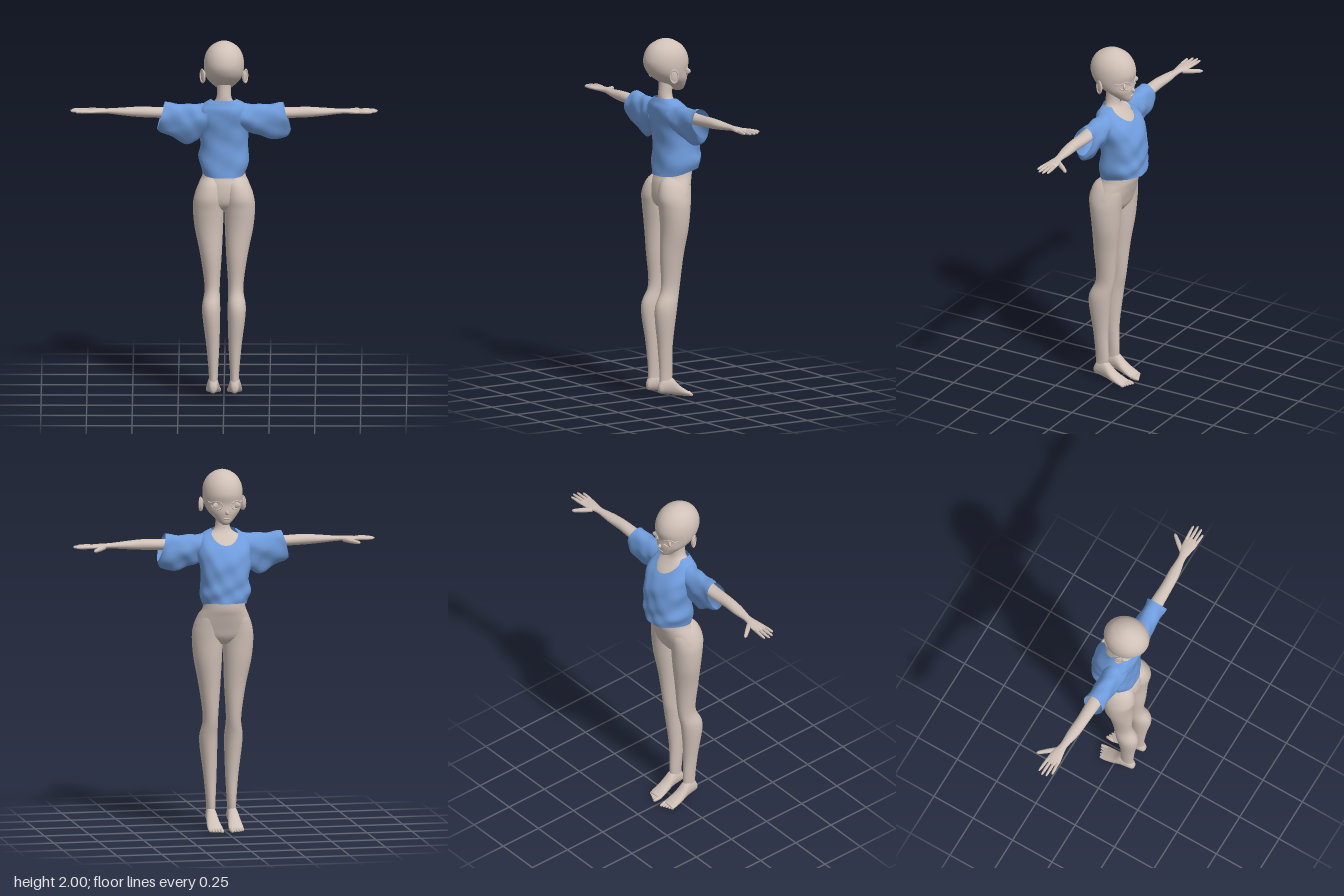
import * as THREE from 'three';

const skin = new THREE.MeshStandardMaterial({ color: 0xd0c1b7 });
skin.name = 'skin';
const cloth = new THREE.MeshStandardMaterial({ color: 0x6f9cdc, side: THREE.DoubleSide });
cloth.name = 'blueCloth';

// Smooth interpolation through rows of numbers, u from 0 to 1
function sample(rows, u) {
  const f = u * (rows.length - 1), i = Math.min(Math.floor(f), rows.length - 2), t = f - i;
  const at = k => rows[Math.max(0, Math.min(rows.length - 1, k))];
  return rows[0].map((_, c) => {
    const p0 = at(i - 1)[c], p1 = at(i)[c], p2 = at(i + 1)[c], p3 = at(i + 2)[c];
    return p1 + 0.5 * t * (p2 - p0 + t * (2 * p0 - 5 * p1 + 4 * p2 - p3 + t * (3 * (p1 - p2) + p3 - p0)));
  });
}

// Lofted skin along an axis. Rows increase along it: [t, a0, a1, b0, b1]
// (a, b) = (x, z) for axis y, (z, y) for axis x, (y, x) for axis z
function loft(rows, axis, { seg = 32, steps = 48, power = 1, caps = true, end = () => 1, warp } = {}) {
  const pos = [], idx = [];
  const put = (t, a, b) => {
    const p = axis === 'y' ? [a, t, b] : axis === 'x' ? [t, b, a] : [b, a, t];
    const v = new THREE.Vector3(...p);
    if (warp) warp(v);
    pos.push(v.x, v.y, v.z);
  };
  const bend = v => Math.sign(v) * Math.abs(v) ** power;
  for (let j = 0; j <= steps; j++) for (let i = 0; i < seg; i++) {
    const q = i / seg * Math.PI * 2;
    const [t, a0, a1, b0, b1] = sample(rows, j / steps * end(q));
    put(t, (a0 + a1) / 2 + (a1 - a0) / 2 * bend(Math.cos(q)), (b0 + b1) / 2 + (b1 - b0) / 2 * bend(Math.sin(q)));
  }
  for (let j = 0; j < steps; j++) for (let i = 0; i < seg; i++) {
    const n = (i + 1) % seg, a = j * seg + i, b = j * seg + n;
    idx.push(a, a + seg, b, b, a + seg, b + seg);
  }
  if (caps) {
    const first = rows[0], last = rows[rows.length - 1], c = pos.length / 3, top = steps * seg;
    for (const r of [first, last]) put(r[0], (r[1] + r[2]) / 2, (r[3] + r[4]) / 2);
    for (let i = 0; i < seg; i++) {
      const n = (i + 1) % seg;
      idx.push(c, i, n, c + 1, top + n, top + i);
    }
  }
  const g = new THREE.BufferGeometry();
  g.setAttribute('position', new THREE.Float32BufferAttribute(pos, 3));
  g.setIndex(idx);
  g.computeVertexNormals();
  return g;
}

// Mirror a geometry across x, keeping faces outward
function mirror(g) {
  const m = g.clone().scale(-1, 1, 1), ix = m.index.array;
  for (let i = 0; i < ix.length; i += 3) [ix[i], ix[i + 1]] = [ix[i + 1], ix[i]];
  m.computeVertexNormals();
  return m;
}

function ball(x, y, z, sx, sy, sz, ry = 0) {
  return new THREE.SphereGeometry(1, 20, 14).scale(sx, sy, sz).rotateY(ry).translate(x, y, z);
}

function tube(points, r) {
  return new THREE.TubeGeometry(new THREE.CatmullRomCurve3(points.map(p => new THREE.Vector3(...p))), 16, r, 8);
}

// Tapered finger or toe with a rounded tip
function digit(from, to, r) {
  const a = new THREE.Vector3(...from), b = new THREE.Vector3(...to), d = b.clone().sub(a), L = d.length();
  const prof = [[0, 0], [r, 0], [r, L * 0.5], [r * 0.75, L * 0.88], [r * 0.4, L * 0.98], [0, L]];
  const g = new THREE.LatheGeometry(prof.map(p => new THREE.Vector2(...p)), 10);
  g.applyQuaternion(new THREE.Quaternion().setFromUnitVectors(new THREE.Vector3(0, 1, 0), d.normalize()));
  return g.translate(a.x, a.y, a.z);
}

export function createModel() {
  const model = new THREE.Group();
  model.name = 'mannequin';
  const add = (name, g, mat = skin) => {
    const m = new THREE.Mesh(g, mat);
    m.name = name;
    model.add(m);
  };
  const pair = (name, g, mat) => {
    add(name + 'Left', g, mat);
    add(name + 'Right', mirror(g), mat);
  };

  // Head, facing -z
  add('head', loft([
    [1.705, -0.015, 0.015, -0.07, -0.03], [1.718, -0.034, 0.034, -0.082, 0], [1.75, -0.066, 0.066, -0.088, 0.05],
    [1.78, -0.09, 0.09, -0.092, 0.1], [1.82, -0.105, 0.105, -0.09, 0.14], [1.87, -0.11, 0.11, -0.1, 0.16],
    [1.92, -0.103, 0.103, -0.088, 0.152], [1.96, -0.081, 0.081, -0.06, 0.127], [1.985, -0.05, 0.05, -0.023, 0.09],
    [1.996, -0.024, 0.024, 0.006, 0.06], [2, -0.005, 0.005, 0.028, 0.038]], 'y', { seg: 40 }));
  add('nose', ball(0, 1.776, -0.09, 0.009, 0.013, 0.016));
  add('lips', ball(0, 1.743, -0.085, 0.018, 0.005, 0.006));
  const faceZ = x => 0.025 - 0.115 * Math.sqrt(1 - (x / 0.106) ** 2);
  const lid = pts => tube(pts.map(([x, y]) => [x, y, faceZ(x) - 0.002]), 0.004);
  pair('eyeball', ball(0.053, 1.815, faceZ(0.053) + 0.004, 0.026, 0.017, 0.009, 0.5));
  pair('upperEyelid', lid([[0.02, 1.812], [0.035, 1.832], [0.06, 1.838], [0.08, 1.828], [0.092, 1.832]]));
  pair('lowerEyelid', lid([[0.027, 1.803], [0.045, 1.794], [0.065, 1.797], [0.08, 1.812]]));
  pair('eyebrow', tube([0.02, 0.045, 0.075].map((x, i) => [x, [1.85, 1.862, 1.855][i], faceZ(x) - 0.004]), 0.003));
  pair('ear', ball(0.113, 1.805, 0.05, 0.009, 0.037, 0.023, -0.5));
  pair('earRim', new THREE.TorusGeometry(0.022, 0.004, 8, 24).scale(1, 1.6, 1)
    .rotateY(Math.PI / 2 - 0.5).translate(0.119, 1.807, 0.052));

  // Torso and neck
  add('torso', loft([
    [1.04, -0.03, 0.03, -0.03, 0.04], [1.08, -0.14, 0.14, -0.06, 0.09], [1.13, -0.161, 0.161, -0.077, 0.105],
    [1.2, -0.137, 0.137, -0.1, 0.1], [1.26, -0.114, 0.114, -0.115, 0.082], [1.4, -0.105, 0.105, -0.11, 0.06],
    [1.5, -0.12, 0.12, -0.12, 0.07], [1.58, -0.123, 0.123, -0.08, 0.083], [1.63, -0.1, 0.1, -0.035, 0.08],
    [1.66, -0.055, 0.055, -0.012, 0.074], [1.69, -0.04, 0.04, -0.004, 0.074], [1.74, -0.038, 0.038, -0.006, 0.07],
    [1.78, -0.038, 0.038, -0.006, 0.07]], 'y', { steps: 60 }));

  // Legs and feet
  pair('leg', loft([
    [0.06, 0.035, 0.082, 0.035, 0.108], [0.14, 0.033, 0.083, 0.028, 0.105], [0.3, 0.025, 0.097, 0.03, 0.118],
    [0.5, 0.02, 0.12, 0.01, 0.14], [0.62, 0.023, 0.106, -0.012, 0.098], [0.8, 0.012, 0.13, -0.03, 0.105],
    [0.95, 0.005, 0.16, -0.05, 0.106], [1.06, 0.001, 0.17, -0.06, 0.116], [1.13, 0.001, 0.163, -0.068, 0.124],
    [1.2, 0.005, 0.136, -0.075, 0.106], [1.24, 0.02, 0.1, -0.06, 0.07]], 'y', { steps: 60 }));
  pair('foot', loft([
    [-0.085, 0.004, 0.026, 0.02, 0.096], [-0.06, 0.005, 0.04, 0.016, 0.1], [-0.01, 0.014, 0.075, 0.023, 0.097],
    [0.04, 0.026, 0.125, 0.03, 0.09], [0.085, 0.034, 0.125, 0.032, 0.085], [0.108, 0.038, 0.095, 0.04, 0.078],
    [0.116, 0.052, 0.075, 0.05, 0.068]], 'z', { seg: 24, steps: 30 }));
  for (let i = 0; i < 5; i++) {
    const x = 0.027 + i * 0.0155, r = i ? 0.008 : 0.011;
    pair('toe' + (i + 1), digit([x, 0.018, -0.065], [x + 0.002, 0.011, -0.115 + i * 0.007], r));
  }

  // Arms held out to the sides
  pair('arm', loft([
    [0.08, -0.01, 0.07, 1.56, 1.635], [0.2, -0.015, 0.065, 1.56, 1.632], [0.33, -0.018, 0.058, 1.565, 1.624],
    [0.45, -0.014, 0.052, 1.569, 1.627], [0.54, -0.018, 0.045, 1.576, 1.621], [0.63, -0.016, 0.027, 1.585, 1.614],
    [0.68, -0.03, 0.032, 1.586, 1.613], [0.73, -0.037, 0.04, 1.587, 1.609], [0.76, -0.034, 0.037, 1.592, 1.606]],
  'x', { seg: 24 }));
  const fingers = [[-0.029, 0.83, -0.036], [-0.01, 0.842, -0.012], [0.011, 0.837, 0.013], [0.03, 0.812, 0.036]];
  fingers.forEach(([z, tipX, tipZ], i) =>
    pair('finger' + (i + 1), digit([0.74, 1.599, z], [tipX, 1.599, tipZ], 0.0088)));
  pair('thumb', digit([0.67, 1.594, -0.016], [0.742, 1.587, -0.103], 0.013));

  // Shirt body: open hem, wide front neckline and soft creases
  const crease = v => 0.003 * Math.sin(v.y * 47 + v.x * 31) + 0.002 * Math.sin(v.x * 68 - v.y * 38 + v.z * 20);
  add('shirtBody', loft([
    [1.24, -0.12, 0.12, -0.157, 0.09], [1.32, -0.137, 0.137, -0.157, 0.085], [1.42, -0.131, 0.131, -0.154, 0.08],
    [1.5, -0.142, 0.142, -0.146, 0.087], [1.57, -0.148, 0.148, -0.112, 0.098], [1.62, -0.138, 0.138, -0.065, 0.1],
    [1.65, -0.11, 0.11, -0.035, 0.088], [1.673, -0.066, 0.066, -0.015, 0.08]], 'y', {
    seg: 72, power: 0.8, caps: false,
    end: q => 1 - 0.37 * Math.max(0, -Math.sin(q)) ** 4,
    warp: v => {
      const k = 1 + crease(v) / 0.15;
      v.x *= k;
      v.z *= k;
      v.y += Math.max(0, 1 - (v.y - 1.24) / 0.15) * 0.04 * THREE.MathUtils.smoothstep(-v.z, -0.09, 0.15);
    },
  }), cloth);

  // Loose sleeves, slanted at the cuff and hanging to a narrow fold below
  const sleeve = bottoms => loft([0.09, 0.15, 0.2, 0.25, 0.295, 0.325].map((x, i) => [
    x, -0.036, [0.09, 0.088, 0.083, 0.078, 0.077, 0.077][i],
    bottoms[i], [1.652, 1.644, 1.64, 1.644, 1.652, 1.655][i]]), 'x', {
    seg: 48, power: 0.9, caps: false,
    warp: v => {
      const drop = Math.max(0, 1.56 - v.y);
      v.z = 0.022 + (v.z - 0.022) * (1 - 3.2 * drop) + crease(v);
      v.y += crease(v);
      v.x += (1.65 - v.y) * 0.28 * THREE.MathUtils.smoothstep(v.x, 0.18, 0.32);
    },
  });
  add('sleeveLeft', sleeve([1.51, 1.485, 1.467, 1.445, 1.46, 1.505]), cloth);
  add('sleeveRight', mirror(sleeve([1.5, 1.44, 1.42, 1.455, 1.48, 1.505])), cloth);

  return model;
}
